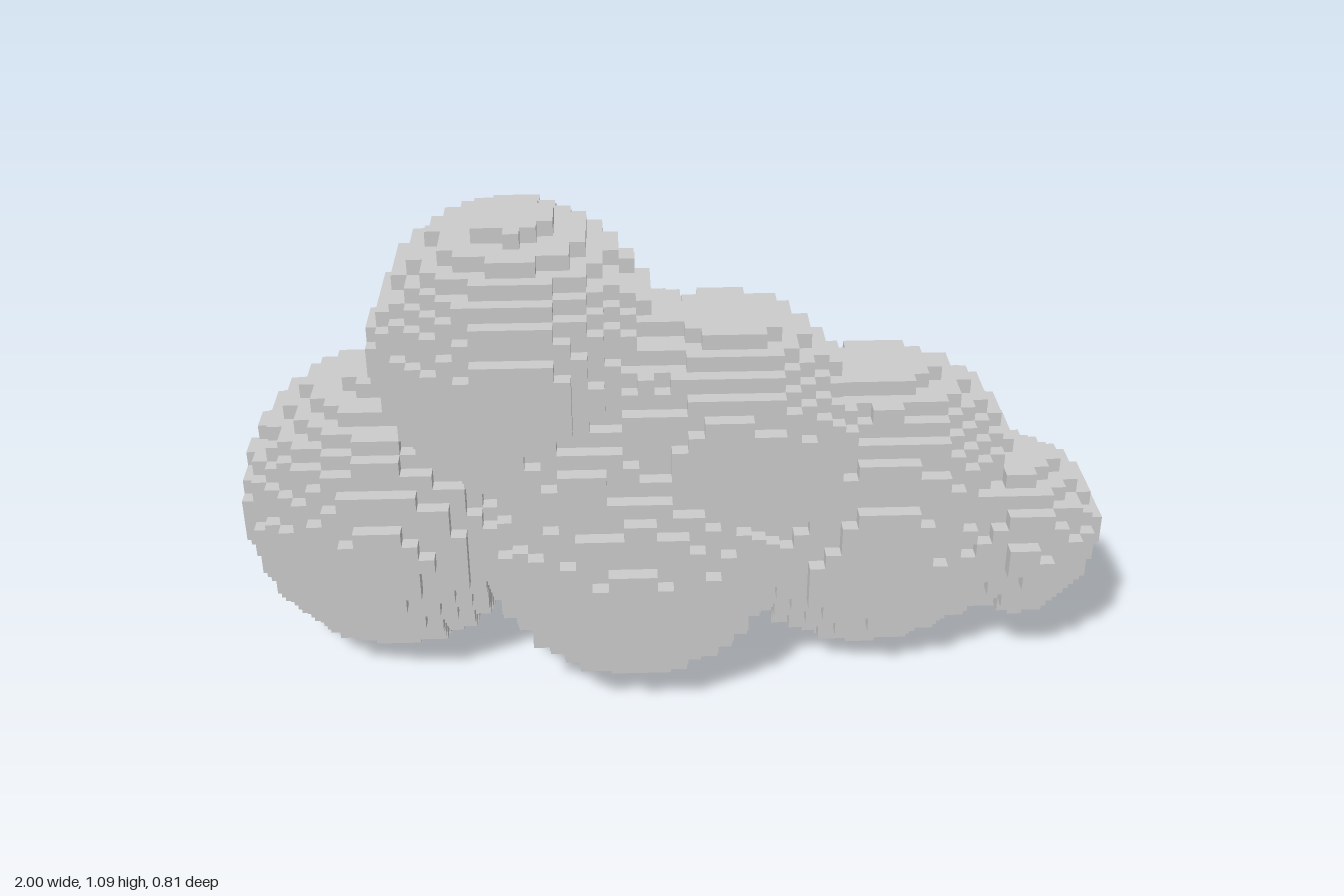
import * as THREE from 'three';

// Voxel grid
const NX = 57, NY = 31, NZ = 23;
const S = 2 / NX;

// Rounded puffs that make up the cloud: centre and radii
const PUFFS = [
  { name: 'rightEndPuff', c: [-0.66, 0.358, -0.075], r: [0.345, 0.343, 0.335] },
  { name: 'topPuff', c: [-0.355, 0.77, -0.032], r: [0.32, 0.315, 0.34] },
  { name: 'frontPuff', c: [-0.1, 0.345, 0.06], r: [0.35, 0.337, 0.335] },
  { name: 'upperMiddlePuff', c: [0.115, 0.61, 0.038], r: [0.28, 0.278, 0.27] },
  { name: 'leftPuff', c: [0.475, 0.36, -0.05], r: [0.345, 0.353, 0.272] },
  { name: 'leftLowerPuff', c: [0.45, 0.27, -0.02], r: [0.35, 0.25, 0.258] },
  { name: 'leftTipPuff', c: [0.8, 0.3, 0.02], r: [0.192, 0.197, 0.196] },
  // Small puffs that fill the hollows between the large ones
  { name: 'frontHollowFill', c: [-0.22, 0.57, 0.03], r: [0.22, 0.2, 0.305] },
  { name: 'topHollowFill', c: [-0.06, 0.68, 0], r: [0.2, 0.19, 0.26] },
  { name: 'leftHollowFill', c: [0.3, 0.52, -0.01], r: [0.17, 0.2, 0.215] },
];

const cellCentre = (i, j, k) => [(i + 0.5) * S - 1, (j + 0.5) * S, (k + 0.5 - NZ / 2) * S];

// Index of the first puff that holds a cell, or -1 for empty space
function ownerOf(i, j, k) {
  if (i < 0 || j < 0 || k < 0 || i >= NX || j >= NY || k >= NZ) return -1;
  const p = cellCentre(i, j, k);
  return PUFFS.findIndex(({ c, r }) =>
    p.reduce((sum, v, a) => sum + ((v - c[a]) / r[a]) ** 2, 0) <= 1);
}

// Adds one square cell face; the two in-plane axes follow the normal axis cyclically
function addFace(out, centre, axis, sign) {
  const u = (axis + 1) % 3, v = (axis + 2) % 3;
  const corners = [[-1, -1], [1, -1], [1, 1], [-1, 1]].map(([a, b]) => {
    const p = [...centre];
    p[axis] += sign * S / 2;
    p[u] += a * S / 2;
    p[v] += b * S / 2;
    return p;
  });
  const order = sign > 0 ? [0, 1, 2, 0, 2, 3] : [0, 2, 1, 0, 3, 2];
  const normal = [0, 0, 0];
  normal[axis] = sign;
  for (const n of order) {
    out.positions.push(...corners[n]);
    out.normals.push(...normal);
  }
}

export function createModel() {
  const group = new THREE.Group();
  group.name = 'voxelCloud';
  const material = new THREE.MeshStandardMaterial({ color: 0xcccccc, flatShading: true });
  const shells = PUFFS.map(() => ({ positions: [], normals: [] }));

  // Keep only the cell faces that border empty space
  for (let i = 0; i < NX; i++)
    for (let j = 0; j < NY; j++)
      for (let k = 0; k < NZ; k++) {
        const owner = ownerOf(i, j, k);
        if (owner < 0) continue;
        for (let axis = 0; axis < 3; axis++)
          for (const sign of [-1, 1]) {
            const next = [i, j, k];
            next[axis] += sign;
            if (ownerOf(...next) < 0) addFace(shells[owner], cellCentre(i, j, k), axis, sign);
          }
      }

  // One mesh per puff
  PUFFS.forEach(({ name }, n) => {
    const geometry = new THREE.BufferGeometry();
    geometry.setAttribute('position', new THREE.Float32BufferAttribute(shells[n].positions, 3));
    geometry.setAttribute('normal', new THREE.Float32BufferAttribute(shells[n].normals, 3));
    const mesh = new THREE.Mesh(geometry, material);
    mesh.name = name;
    group.add(mesh);
  });
  return group;
}
